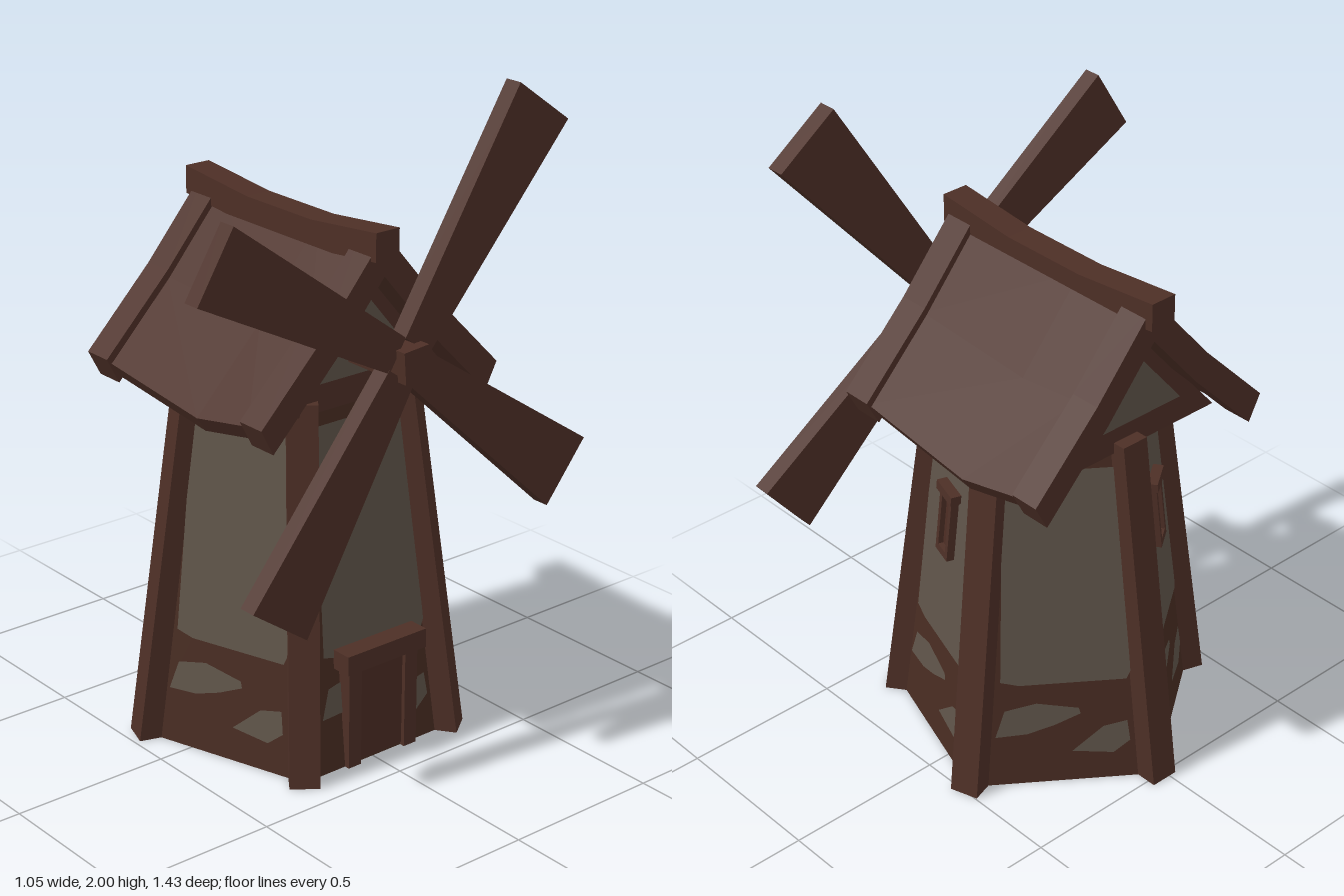
import * as THREE from 'three';

const mat = (name, color, side = THREE.FrontSide) => {
  const m = new THREE.MeshStandardMaterial({ color, side });
  m.name = name;
  return m;
};

// Flat-shaded solid through matching convex cross-sections, with end caps
function loft(sections) {
  const tris = [], n = sections[0].length;
  for (let s = 0; s < sections.length - 1; s++) {
    const a = sections[s], b = sections[s + 1];
    for (let i = 0; i < n; i++) {
      const j = (i + 1) % n;
      tris.push([a[i], a[j], b[j]], [a[i], b[j], b[i]]);
    }
  }
  const first = sections[0], last = sections[sections.length - 1];
  for (let i = 1; i < n - 1; i++) {
    tris.push([first[0], first[i + 1], first[i]], [last[0], last[i], last[i + 1]]);
  }
  // Turn every face outward
  const v = (p) => new THREE.Vector3(...p);
  const volume = tris.reduce((sum, [p, q, r]) => sum + v(p).dot(v(q).cross(v(r))), 0);
  if (volume < 0) tris.forEach((t) => t.reverse());
  const g = new THREE.BufferGeometry();
  g.setAttribute('position', new THREE.Float32BufferAttribute(tris.flat(2), 3));
  g.computeVertexNormals();
  return g;
}

export function createModel() {
  const wood = mat('wood', 0x4d2f26);
  const wallBrown = mat('wallBrown', 0x482c22, THREE.DoubleSide);
  const plaster = mat('plaster', 0x5f5449, THREE.DoubleSide);
  const doorWood = mat('doorWood', 0x4b2c23);

  const model = new THREE.Group();
  const add = (name, geometry, material, parent = model) => {
    const m = new THREE.Mesh(geometry, material);
    m.name = name;
    parent.add(m);
    return m;
  };
  const group = (name) => {
    const g = new THREE.Group();
    g.name = name;
    model.add(g);
    return g;
  };
  const box = (name, x0, x1, y0, y1, z0, z1, material, parent) => {
    const g = new THREE.BoxGeometry(x1 - x0, y1 - y0, z1 - z0);
    g.translate((x0 + x1) / 2, (y0 + y1) / 2, (z0 + z1) / 2);
    return add(name, g, material, parent);
  };

  // Tapered five-sided tower
  const CX = -0.01, CZ = -0.02, TOP = 1.11, STEP = Math.PI / 5;
  const radius = (y) => 0.48 + (0.34 - 0.48) * (y / TOP);
  const halfWidth = (y) => radius(y) * Math.sin(STEP);
  // Point on the wall facing angle a: w across, y up, off outward
  const onWall = (a, w, y, off) => {
    const d = radius(y) * Math.cos(STEP) + off;
    return [CX + d * Math.cos(a) + w * Math.sin(a), y, CZ + d * Math.sin(a) - w * Math.cos(a)];
  };
  // Flat patch on a wall, its outline given as [share of half width, y]
  const patch = (a, outline, off) => {
    const g = new THREE.ShapeGeometry(new THREE.Shape(outline.map((p) => new THREE.Vector2(...p))));
    const pos = g.attributes.position;
    for (let i = 0; i < pos.count; i++) {
      const y = pos.getY(i);
      pos.setXYZ(i, ...onWall(a, pos.getX(i) * halfWidth(y), y, off));
    }
    g.computeVertexNormals();
    return g;
  };

  const wallOutline = [[-1, 0], [1, 0], [1, TOP], [-1, TOP]];
  const plasterOutlines = [
    [[-0.72, 0.36], [-0.5, 0.345], [0.74, 0.345], [0.79, 0.37], [0.84, 1.0], [0.78, 1.05], [-0.74, 1.05], [-0.8, 1.01]],
    [[-0.75, 0.17], [-0.4, 0.175], [-0.1, 0.2], [0.2, 0.235], [0.18, 0.255], [-0.3, 0.28], [-0.66, 0.26]],
    [[0.1, 0.105], [0.55, 0.09], [0.74, 0.13], [0.72, 0.2], [0.45, 0.185]],
  ];

  const tower = group('tower');
  for (let i = 0; i < 5; i++) {
    const a = i * 2 * STEP;
    add('wall', patch(a, wallOutline, 0), wallBrown, tower);
    for (const outline of plasterOutlines) {
      add('plasterOutside', patch(a, outline, 0.004), plaster, tower);
      add('plasterInside', patch(a, outline, -0.004), plaster, tower);
    }
    // Corner beam
    const b = a + STEP, c = Math.cos(b), s = Math.sin(b);
    const ring = (y, r) => [[-0.085, -0.045], [0, -0.045], [0, 0.045], [-0.085, 0.045]]
      .map(([d, w]) => [CX + (r + d) * c - w * s, y, CZ + (r + d) * s + w * c]);
    add('cornerBeam', loft([ring(0, 0.515), ring(1.13, 0.36)]), wood, tower);
  }

  // Two small windows, each framed
  for (const a of [4 * STEP, -2 * STEP]) {
    const win = group('window');
    const bar = (name, w0, w1, y0, y1, depth, material) => {
      const face = (off) => [[w0, y0], [w1, y0], [w1, y1], [w0, y1]].map(([w, y]) => onWall(a, w, y, off));
      add(name, loft([face(-0.005), face(depth)]), material, win);
    };
    bar('shutter', -0.03, 0.03, 0.68, 0.86, 0.012, doorWood);
    bar('leftJamb', -0.042, -0.025, 0.66, 0.87, 0.028, wood);
    bar('rightJamb', 0.025, 0.042, 0.66, 0.87, 0.028, wood);
    bar('sill', -0.042, 0.042, 0.66, 0.682, 0.028, wood);
    bar('lintel', -0.054, 0.054, 0.86, 0.888, 0.036, wood);
  }

  // Upright door in the wall below the sails
  const door = group('door');
  box('doorPanel', 0.31, 0.382, 0.01, 0.33, -0.11, 0.065, doorWood, door);
  box('leftPost', 0.31, 0.395, 0, 0.33, 0.06, 0.107, wood, door);
  box('rightPost', 0.31, 0.395, 0, 0.33, -0.155, -0.108, wood, door);
  box('doorLintel', 0.3, 0.41, 0.315, 0.375, -0.175, 0.125, wood, door);

  // Roof: kinked slabs with sagging eaves and raised end boards
  const roof = group('roof');
  const slabOuter = [[0, 1.585], [0.205, 1.345], [0.42, 1.125]];
  const slabInner = [[0, 1.51], [0.178, 1.295], [0.39, 1.08]];
  const boardOuter = [[0, 1.615], [0.212, 1.368], [0.437, 1.14]];
  const boardInner = [[0, 1.49], [0.17, 1.29], [0.395, 1.06]];
  for (const side of [1, -1]) {
    const piece = (name, outer, inner, stations) => {
      for (let k = 0; k < 2; k++) {
        const at = ([x, sag]) => [outer[k], outer[k + 1], inner[k + 1], inner[k]].map(([z, y], i) => {
          const drop = sag * ((i === 1 || i === 2) ? (k + 1) / 2 : k / 2);
          return [x, y - drop, CZ + side * (z + drop * 0.8)];
        });
        add(name, loft(stations.map(at)), wood, roof);
      }
    };
    piece('roofSlab', slabOuter, slabInner, [[-0.35, 0], [side > 0 ? 0.1 : -0.14, 0.03], [0.3, 0]]);
    piece('endBoard', boardOuter, boardInner, [[-0.435, 0], [-0.34, 0]]);
    piece('endBoard', boardOuter, boardInner, [[0.285, 0], [0.38, 0]]);
  }
  const ridge = [[-0.46, 1.63], [-0.17, 1.602], [0.12, 1.602], [0.4, 1.63]];
  add('ridgeBeam', loft(ridge.map(([x, y]) =>
    [[x, y, -0.055], [x, y, 0.03], [x, y - 0.085, 0.03], [x, y - 0.085, -0.055]])), wood, roof);

  // Gable ends with plaster triangles
  const triangle = (x, w, y0, y1) => [[x, y0, CZ - w], [x, y0, CZ + w], [x, y1, CZ]];
  add('gable', loft([triangle(-0.33, 0.35, 1.095, 1.5), triangle(0.28, 0.35, 1.095, 1.5)]), wood, roof);
  for (const [x0, x1] of [[-0.335, -0.329], [0.279, 0.285]]) {
    add('gablePlaster', loft([triangle(x0, 0.21, 1.18, 1.43), triangle(x1, 0.21, 1.18, 1.43)]), plaster, roof);
  }

  // Axle and four sails that widen towards their tips
  const sails = group('sails');
  const HY = 1.275, HZ = -0.013;
  const axle = box('axle', -0.13, 0.13, -0.048, 0.048, -0.045, 0.045, wood, sails);
  axle.position.set(0.4, HY, HZ);
  axle.rotation.x = 0.08;
  const tips = [ // [z, y] of the two tip corners
    [[-0.405, 2.0], [-0.595, 1.865]],
    [[0.595, 1.785], [0.715, 1.59]],
    [[0.54, 0.67], [0.35, 0.535]],
    [[-0.715, 0.87], [-0.57, 0.69]],
  ];
  tips.forEach(([p, q], i) => {
    const dz = (p[0] + q[0]) / 2 - HZ, dy = (p[1] + q[1]) / 2 - HY;
    const l = Math.hypot(dz, dy), rz = HZ + 0.05 * dz / l, ry = HY + 0.05 * dy / l;
    const wz = q[0] - p[0], wy = q[1] - p[1], k = 0.055 / Math.hypot(wz, wy);
    const x0 = 0.44 + (i % 2) * 0.001, x1 = 0.496 - (i % 2) * 0.001;
    const outline = (x) => [
      [x, p[1], p[0]], [x, q[1], q[0]], [x, ry + wy * k, rz + wz * k], [x, ry - wy * k, rz - wz * k],
    ];
    add('sail', loft([outline(x0), outline(x1)]), wood, sails);
  });

  return model;
}
